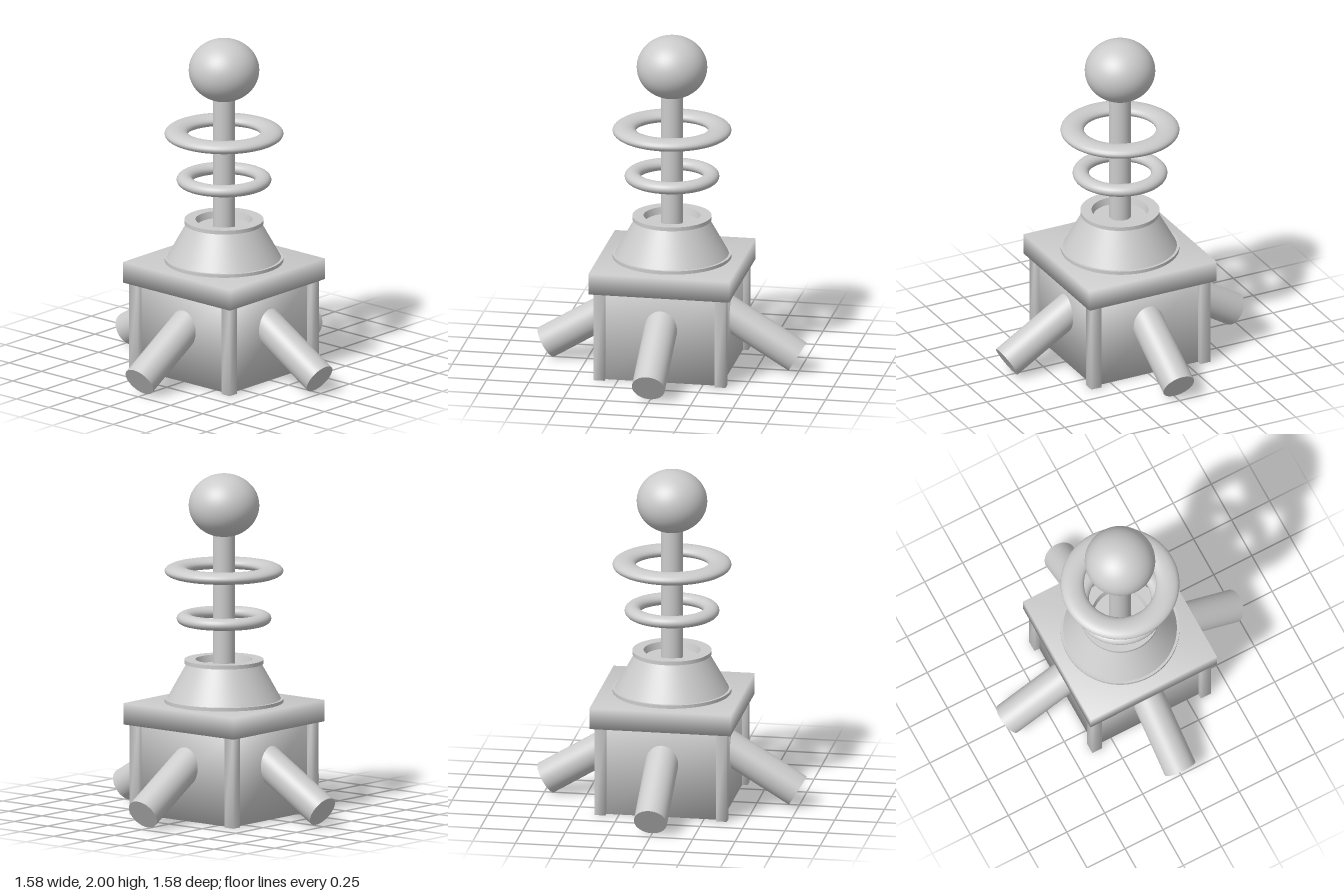
import * as THREE from 'three';
import { mergeVertices, toCreasedNormals } from 'three/addons/utils/BufferGeometryUtils.js';

const material = new THREE.MeshStandardMaterial({ color: 0xcccccc });

// Box whose normals are shared across its corners, for soft shading.
function softBox(w, h, d) {
  const geo = new THREE.BoxGeometry(w, h, d);
  geo.deleteAttribute('normal');
  geo.deleteAttribute('uv');
  const merged = mergeVertices(geo);
  merged.computeVertexNormals();
  return merged;
}

export function createModel() {
  const model = new THREE.Group();
  model.name = 'antennaStation';

  function add(name, geometry, x = 0, y = 0, z = 0) {
    const mesh = new THREE.Mesh(geometry, material);
    mesh.name = name;
    mesh.position.set(x, y, z);
    model.add(mesh);
    return mesh;
  }

  // Square body under an overhanging slab
  add('body', softBox(0.714, 0.55, 0.714), 0, 0.28, 0);
  add('roofSlab', softBox(0.83, 0.125, 0.83), 0, 0.5975, 0);

  // Square posts on the four corners
  for (const x of [-0.357, 0.357]) {
    for (const z of [-0.357, 0.357]) {
      add('cornerPost', softBox(0.065, 0.55, 0.065), x, 0.28, z);
    }
  }

  // Four slanted legs, one through each side
  const inner = new THREE.Vector3(0.25, 0.389, 0);
  const outer = new THREE.Vector3(0.74, 0.0925, 0);
  const axis = outer.clone().sub(inner);
  const legGeometry = new THREE.CylinderGeometry(0.097, 0.097, axis.length(), 40);
  legGeometry.applyQuaternion(new THREE.Quaternion().setFromUnitVectors(
    new THREE.Vector3(0, 1, 0), axis.clone().normalize()));
  const middle = inner.clone().add(outer).multiplyScalar(0.5);
  legGeometry.translate(middle.x, middle.y, 0);
  for (let i = 0; i < 4; i++) {
    add('leg', legGeometry).rotation.y = i * Math.PI / 2;
  }

  // Conical mount with a foot flange and a recessed top rim
  const mountProfile = [
    [0, 0.655], [0.345, 0.655], [0.345, 0.68], [0.33, 0.68],
    [0.272, 0.785], [0.215, 0.887], [0.23, 0.887], [0.23, 0.91],
    [0.165, 0.91], [0.155, 0.87], [0, 0.87],
  ].map(([r, y]) => new THREE.Vector2(r, y));
  add('mount', toCreasedNormals(new THREE.LatheGeometry(mountProfile, 64), 0.5));

  // Mast with a slightly flattened ball on top
  add('mast', new THREE.CylinderGeometry(0.065, 0.065, 0.82, 32), 0, 1.26, 0);
  add('ball', new THREE.SphereGeometry(0.205, 48, 32), 0, 1.815, 0).scale.y = 0.185 / 0.205;

  // Floating flattened rings: height, ring radius, tube radius
  for (const [name, y, radius, tube] of [
    ['lowerRing', 1.15, 0.228, 0.047],
    ['upperRing', 1.43, 0.277, 0.068],
  ]) {
    const ring = new THREE.TorusGeometry(radius, tube, 24, 64);
    ring.rotateX(Math.PI / 2);
    add(name, ring, 0, y, 0).scale.y = 0.035 / tube;
  }

  return model;
}
